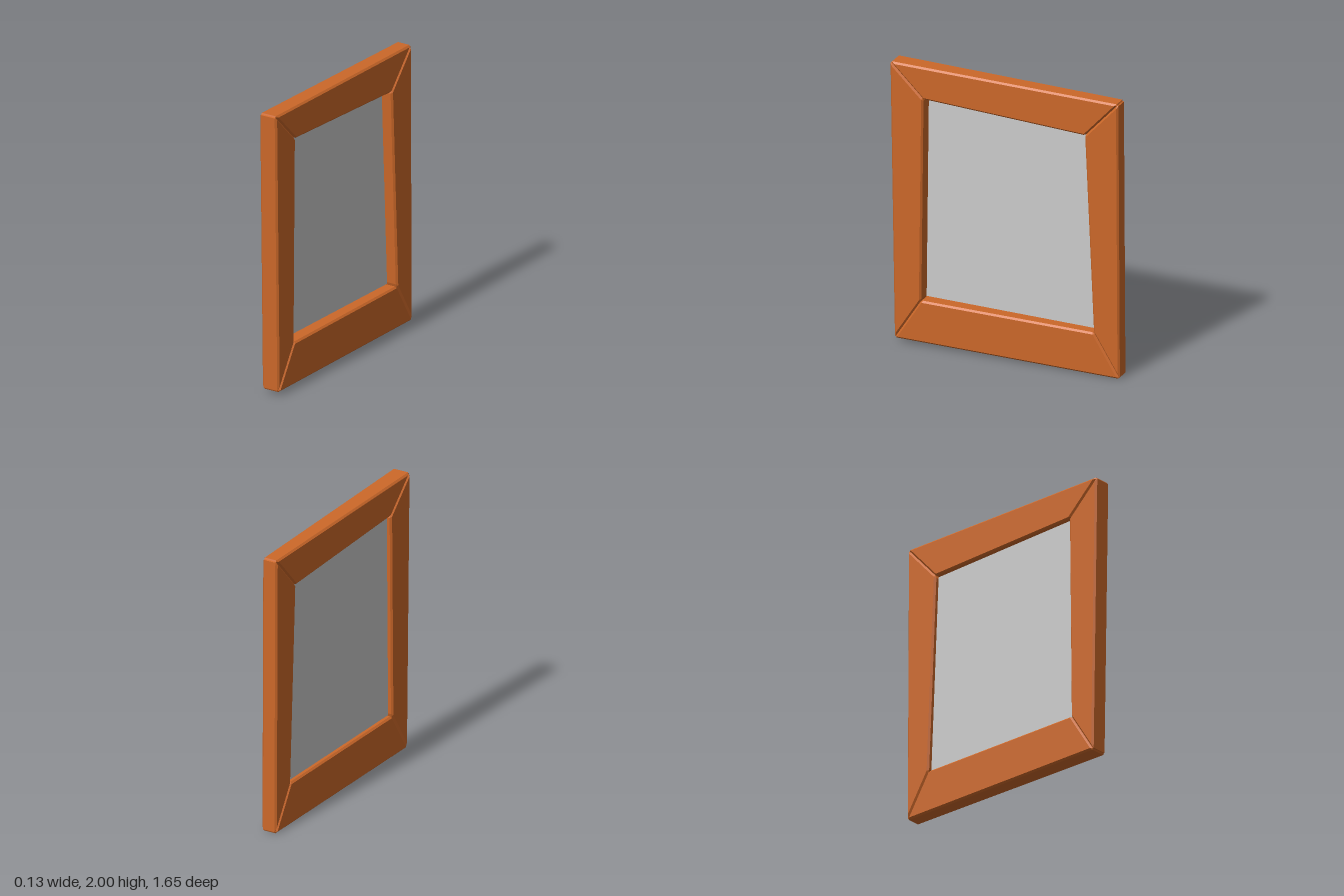
import * as THREE from 'three';
import { ConvexGeometry } from 'three/addons/geometries/ConvexGeometry.js';

const BEVEL = 0.012;
const BACK = -0.067;
const front = (z) => 0.0565 + 0.0128 * z; // front face leans, thicker towards +z

// Crooked frame corners as (z, y), in order round the frame
const outer = [[0.828, 2.0], [-0.813, 1.963], [-0.824, 0.0], [0.796, 0.027]].map((p) => new THREE.Vector2(...p));
const inner = [[0.59, 1.767], [-0.574, 1.704], [-0.638, 0.302], [0.606, 0.322]].map((p) => new THREE.Vector2(...p));

// Mitred plank: a four-sided prism with every edge chamfered
function plankGeometry(quad) {
  const points = [];
  const add = (p, inset) => {
    points.push(new THREE.Vector3(BACK + inset, p.y, p.x));
    points.push(new THREE.Vector3(front(p.x) - inset, p.y, p.x));
  };
  quad.forEach((p, i) => {
    const u = quad[(i + 3) % 4].clone().sub(p).normalize();
    const v = quad[(i + 1) % 4].clone().sub(p).normalize();
    const k = BEVEL / Math.abs(u.cross(v));
    add(p.clone().addScaledVector(u, k).addScaledVector(v, k), 0); // face corner
    add(p.clone().addScaledVector(u, BEVEL), BEVEL); // side corners
    add(p.clone().addScaledVector(v, BEVEL), BEVEL);
  });
  return new ConvexGeometry(points);
}

export function createModel() {
  const group = new THREE.Group();
  group.name = 'pictureFrame';
  const wood = new THREE.MeshStandardMaterial({ color: 0xcc6829, flatShading: true });
  const grey = new THREE.MeshStandardMaterial({ color: 0xcccccc, side: THREE.DoubleSide });

  // Four planks meeting at mitred corners
  ['topRail', 'backStile', 'bottomRail', 'frontStile'].forEach((name, i) => {
    const j = (i + 1) % 4;
    const plank = new THREE.Mesh(plankGeometry([outer[i], outer[j], inner[j], inner[i]]), wood);
    plank.name = name;
    group.add(plank);
  });

  // Flat panel set into the opening, turned to face +x
  const shape = new THREE.Shape(inner.map((p) => new THREE.Vector2(-p.x, p.y)));
  const panel = new THREE.Mesh(new THREE.ShapeGeometry(shape), grey);
  panel.name = 'panel';
  panel.rotation.y = Math.PI / 2;
  panel.position.x = -0.033;
  group.add(panel);

  return group;
}
